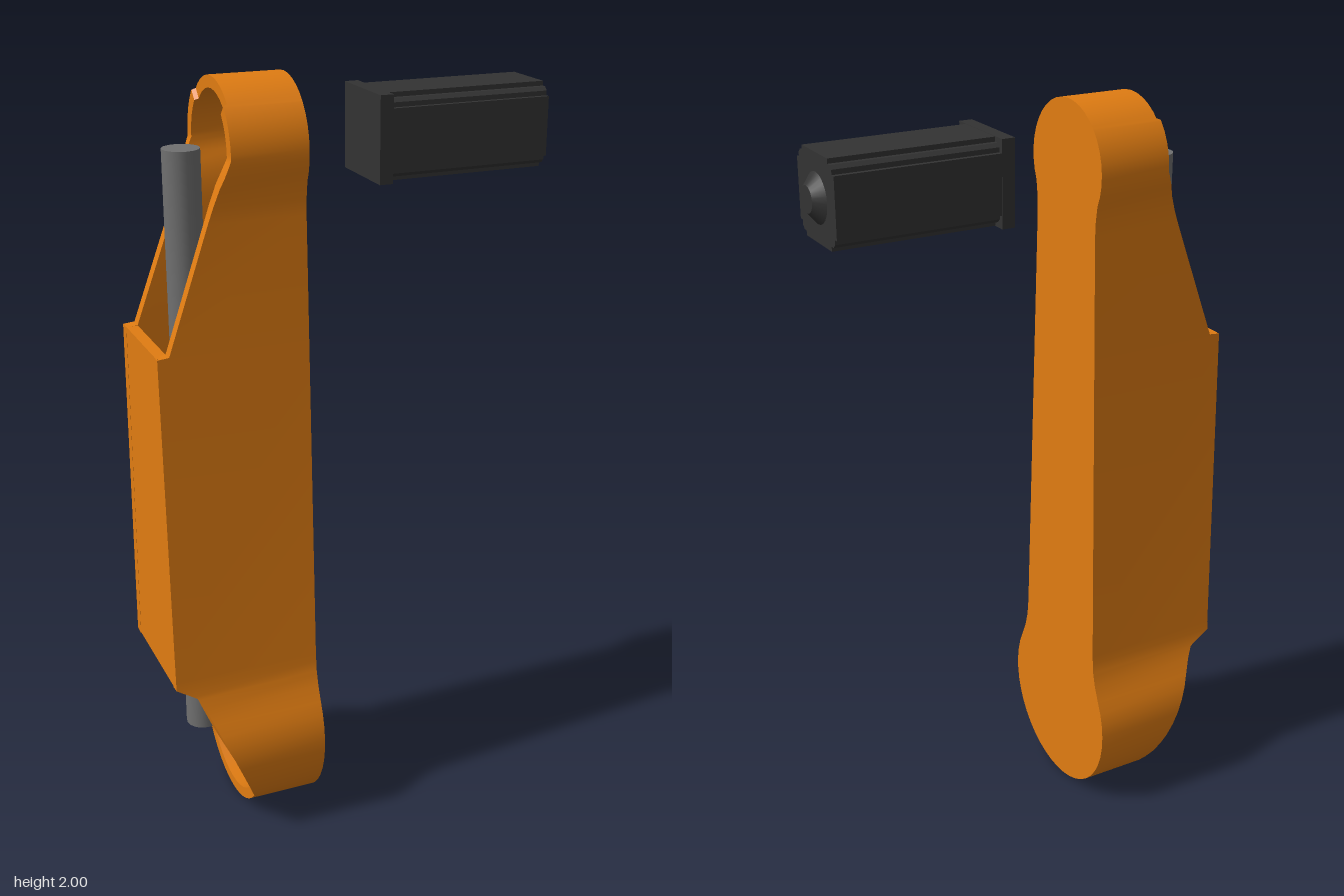
import * as THREE from 'three';
import { toCreasedNormals } from 'three/addons/utils/BufferGeometryUtils.js';

const orange = new THREE.MeshStandardMaterial({ color: 0xe07c12, side: THREE.DoubleSide });
const black = new THREE.MeshStandardMaterial({ color: 0x333333 });
const grey = new THREE.MeshStandardMaterial({ color: 0x707070 });

const FACE_X = -0.15, FLOOR_X = -0.22, WALL = 0.03;

// Rim depth along the arm: [y, x]
const RIM = [
  [0, -0.335], [0.085, -0.335], [0.43, -0.48], [0.467, -0.54], [1.366, -0.54],
  [1.369, -0.51], [1.83, -0.345], [1.948, -0.345], [1.952, -0.335], [2, -0.335],
];

function rimX(y) {
  for (let i = 1; i < RIM.length; i++) {
    const [y0, x0] = RIM[i - 1], [y1, x1] = RIM[i];
    if (y <= y1) return x0 + (x1 - x0) * (y - y0) / (y1 - y0);
  }
  return RIM[RIM.length - 1][1];
}

function arc(cy, r, from, to, n) {
  return Array.from({ length: n + 1 }, (_, i) => {
    const a = THREE.MathUtils.degToRad(from + (to - from) * i / n);
    return new THREE.Vector2(r * Math.cos(a), cy + r * Math.sin(a));
  });
}

// Closed outline (z, y): +z side upwards, then -z side downwards
function armOutline() {
  const half = [
    ...arc(0.245, 0.242, -90, 28, 14),
    ...[[0.196, 0.4], [0.185, 0.44], [0.18, 0.49], [0.141, 1.68], [0.142, 1.72]]
      .map(([z, y]) => new THREE.Vector2(z, y)),
    ...arc(1.835, 0.165, -26, 90, 12),
  ];
  // extra points wherever the rim changes slope
  for (const [y] of RIM.slice(1, -1)) {
    const i = half.findIndex(p => p.y > y);
    const a = half[i - 1], b = half[i];
    if (y - a.y > 1e-4 && b.y - y > 1e-4)
      half.splice(i, 0, a.clone().lerp(b, (y - a.y) / (b.y - a.y)));
  }
  half[0].x = half[half.length - 1].x = 0;
  const mirrored = half.slice(1, -1).reverse().map(p => new THREE.Vector2(-p.x, p.y));
  return [...half, ...mirrored];
}

// Open tray: outer wall, inner wall, sloping rim, face and floor
function shellGeometry() {
  const outer = armOutline(), n = outer.length;
  const inner = outer.map((p, i) => {
    const t = outer[(i + 1) % n].clone().sub(outer[(i + n - 1) % n]).normalize();
    return new THREE.Vector2(p.x - t.y * WALL, p.y + t.x * WALL);
  });
  const pos = [];
  const at = (p, x) => [x, p.y, p.x];
  const quad = (a, b, c, d) => pos.push(...a, ...b, ...c, ...a, ...c, ...d);
  for (let i = 0; i < n; i++) {
    const j = (i + 1) % n;
    const A = outer[i], B = outer[j], a = inner[i], b = inner[j];
    const xa = rimX(A.y), xb = rimX(B.y);
    quad(at(A, xa), at(A, FACE_X), at(B, FACE_X), at(B, xb));
    quad(at(a, FLOOR_X), at(a, xa), at(b, xb), at(b, FLOOR_X));
    quad(at(a, xa), at(A, xa), at(B, xb), at(b, xb));
  }
  for (let i = 0; i < n / 2; i++) {
    const k = (n - i) % n, l = n - i - 1;
    quad(at(outer[i], FACE_X), at(outer[k], FACE_X), at(outer[l], FACE_X), at(outer[i + 1], FACE_X));
    quad(at(inner[k], FLOOR_X), at(inner[i], FLOOR_X), at(inner[i + 1], FLOOR_X), at(inner[l], FLOOR_X));
  }
  const g = new THREE.BufferGeometry();
  g.setAttribute('position', new THREE.Float32BufferAttribute(pos, 3));
  return toCreasedNormals(g, 0.5);
}

// Tapered plate closing the middle of the tray
function coverGeometry() {
  const g = new THREE.BoxGeometry(0.03, 0.9, 2);
  const p = g.attributes.position;
  for (let i = 0; i < p.count; i++)
    p.setZ(i, Math.sign(p.getZ(i)) * (p.getY(i) > 0 ? 0.145 : 0.175));
  g.translate(-0.5245, 0.9165, 0);
  g.computeVertexNormals();
  return g;
}

// Square section with stepped corners
function motorBodyGeometry(length) {
  const h = 0.108, c = 0.033, s = 0.012;
  const corner = [[h, h - c], [h - s, h - c], [h - s, h - c + s], [h - c + s, h - s], [h - c, h - s], [h - c, h]];
  const pts = [];
  for (let q = 0; q < 4; q++) {
    const a = q * Math.PI / 2;
    for (const [x, y] of corner)
      pts.push(new THREE.Vector2(x, y).rotateAround(new THREE.Vector2(), a));
  }
  const g = new THREE.ExtrudeGeometry(new THREE.Shape(pts), { depth: length, bevelEnabled: false });
  return g.rotateY(Math.PI / 2);
}

export function createModel() {
  const model = new THREE.Group();
  const add = (parent, name, geometry, material, x = 0, y = 0, z = 0) => {
    const m = new THREE.Mesh(geometry, material);
    m.name = name;
    m.position.set(x, y, z);
    parent.add(m);
    return m;
  };

  // Arm housing
  const arm = new THREE.Group();
  arm.name = 'armHousing';
  add(arm, 'armShell', shellGeometry(), orange);
  add(arm, 'armCover', coverGeometry(), orange);
  model.add(arm);

  // Rod running through the housing
  add(model, 'rod', new THREE.CylinderGeometry(0.047, 0.047, 1.59, 16), grey, -0.415, 1.04, 0);

  // Separate motor block
  const motor = new THREE.Group();
  motor.name = 'motor';
  motor.position.set(0, 1.837, 0.01);
  add(motor, 'motorFlange', new THREE.BoxGeometry(0.035, 0.218, 0.218), black, 0.0695);
  add(motor, 'motorBody', motorBodyGeometry(0.43), black, 0.085);
  const boss = new THREE.CylinderGeometry(0.033, 0.062, 0.025, 24).rotateZ(-Math.PI / 2);
  add(motor, 'motorBoss', boss, black, 0.5275);
  model.add(motor);

  return model;
}
